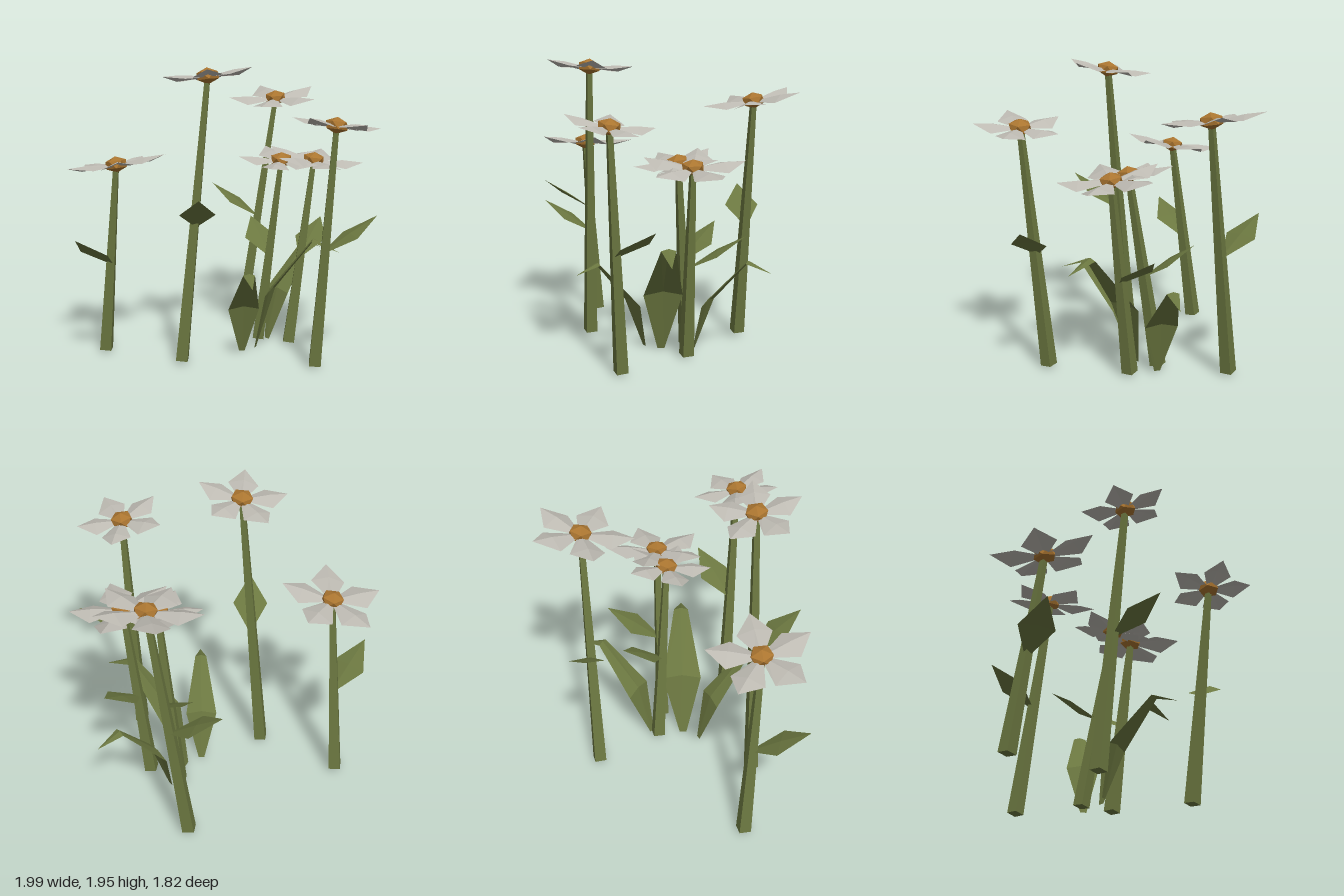
import * as THREE from 'three';

const UP = new THREE.Vector3(0, 1, 0);
const mat = (color, side = THREE.FrontSide) =>
  new THREE.MeshStandardMaterial({ color, flatShading: true, side });
const stemMat = mat(0x6b7740);
const leafMat = mat(0x6b7740, THREE.DoubleSide);
const petalMat = mat(0xbdbab2, THREE.DoubleSide);
const centreMat = mat(0xaa7530);

// Creased blade growing along +x; each section is [distance, height, half width, edge drop]
function blade(sections) {
  const pos = [], idx = [];
  for (const [d, y, w, drop] of sections) {
    pos.push(d, y - drop, -w, d, y, 0, d, y - drop, w);
  }
  for (let i = 0; i < sections.length - 1; i++) {
    for (let j = 0; j < 2; j++) {
      const a = i * 3 + j, b = a + 1, c = a + 3, e = a + 4;
      if (sections[i][2] > 0) idx.push(a, b, e);
      if (sections[i + 1][2] > 0) idx.push(a, e, c);
    }
  }
  const g = new THREE.BufferGeometry();
  g.setAttribute('position', new THREE.Float32BufferAttribute(pos, 3));
  g.setIndex(idx);
  g.computeVertexNormals();
  return g;
}

function addMesh(parent, name, geometry, material) {
  const m = new THREE.Mesh(geometry, material);
  m.name = name;
  parent.add(m);
  return m;
}

const petalGeo = blade([[0.04, 0, 0.03, 0.012], [0.2, 0.02, 0.11, 0.036], [0.335, 0.02, 0, 0]]);

// Icosahedron turned so that one corner points up, then flattened
const centreGeo = new THREE.IcosahedronGeometry(0.079, 0);
centreGeo.rotateX(-Math.atan((1 + Math.sqrt(5)) / 2));
centreGeo.scale(1, 0.67, 1);

// Tapered square stem with its corners on the axes
function addStem(parent, base, head) {
  const a = new THREE.Vector3(...base), b = new THREE.Vector3(...head);
  const dir = b.clone().sub(a);
  const m = addMesh(parent, 'stem', new THREE.CylinderGeometry(0.023, 0.054, dir.length(), 4), stemMat);
  m.position.copy(a).add(b).multiplyScalar(0.5);
  m.quaternion.setFromUnitVectors(UP, dir.normalize());
}

// Blossom: five petals around a faceted centre, tilted to face along its normal
function addBlossom(parent, head, normal, spin, radius) {
  const g = new THREE.Group();
  g.name = 'blossom';
  g.position.set(...head);
  g.quaternion.setFromUnitVectors(UP, new THREE.Vector3(...normal).normalize());
  for (let i = 0; i < 5; i++) {
    const p = addMesh(g, 'petal', petalGeo, petalMat);
    p.rotation.y = THREE.MathUtils.degToRad(spin + 72 * i);
    p.scale.setScalar(radius / 0.335);
  }
  addMesh(g, 'flowerCentre', centreGeo, centreMat);
  parent.add(g);
}

// Kite-shaped leaf from a point on the stem to its tip
function addStemLeaf(parent, from, tip) {
  const dx = tip[0] - from[0], dy = tip[1] - from[1], dz = tip[2] - from[2];
  const len = Math.hypot(dx, dz);
  const geo = blade([[0, 0, 0.01, 0], [len * 0.5, dy * 0.54, 0.115, 0.015], [len, dy, 0, 0]]);
  const m = addMesh(parent, 'stemLeaf', geo, leafMat);
  m.position.set(...from);
  m.rotation.y = Math.atan2(-dz, dx);
}

// Tall leaf rising from the ground with its tip folded over
const groundLeafGeo = blade([
  [0, 0, 0.02, 0], [0.1, 0.355, 0.108, 0.022], [0.38, 0.655, 0.04, 0.012], [0.55, 0.585, 0, 0],
]);

const flowers = [
  { base: [-0.655, 0.02, -0.75], head: [-0.66, 1.31, -0.58], normal: [-0.05, 1, -0.165], spin: 94, r: 0.335,
    leaf: [[-0.65, 0.625, -0.665], [-1.0, 0.85, -0.57]] },
  { base: [-0.425, 0.02, -0.21], head: [-0.33, 1.895, -0.04], normal: [0, 1, -0.17], spin: 86, r: 0.295,
    leaf: [[-0.365, 0.925, -0.125], [-0.57, 1.15, 0.15]] },
  { base: [0.15, 0.02, 0.455], head: [0.155, 1.6, 0.615], normal: [0.175, 1, 0], spin: 45, r: 0.295,
    leaf: [[0.14, 0.775, 0.52], [0.49, 1.0, 0.67]] },
  { base: [0.295, 0.02, -0.245], head: [0.315, 1.305, -0.04], normal: [-0.08, 1, 0.14], spin: 69, r: 0.29,
    leaf: [[0.305, 0.625, -0.14], [0.41, 0.85, -0.45]] },
  { base: [0.39, 0.02, -0.035], head: [0.48, 1.305, 0.105], normal: [0.06, 1, 0.15], spin: 36, r: 0.34,
    leaf: [[0.425, 0.63, 0.035], [0.765, 0.85, -0.1]] },
  { base: [0.51, 0.02, -0.66], head: [0.665, 1.68, -0.465], normal: [-0.155, 1, 0.085], spin: 66, r: 0.335,
    leaf: [[0.59, 0.81, -0.575], [0.41, 1.04, -0.87]] },
];

// Ground leaves: x, z, direction in x and z, reach, height
const groundLeaves = [
  [0.035, -0.13, -0.28, 0.41, 0.94, 0.96],
  [0.16, -0.13, 0.3, 0.5, 1.06, 1.21],
  [0.36, -0.225, 1, 0, 0.99, 1],
];

export function createModel() {
  const root = new THREE.Group();
  root.name = 'flowerCluster';
  for (const f of flowers) {
    const g = new THREE.Group();
    g.name = 'flower';
    addStem(g, f.base, f.head);
    addBlossom(g, f.head, f.normal, f.spin, f.r);
    addStemLeaf(g, ...f.leaf);
    root.add(g);
  }
  for (const [x, z, dx, dz, reach, height] of groundLeaves) {
    const m = addMesh(root, 'groundLeaf', groundLeafGeo, leafMat);
    m.position.set(x, 0, z);
    m.rotation.y = Math.atan2(-dz, dx);
    m.scale.set(reach, height, height);
  }
  return root;
}
